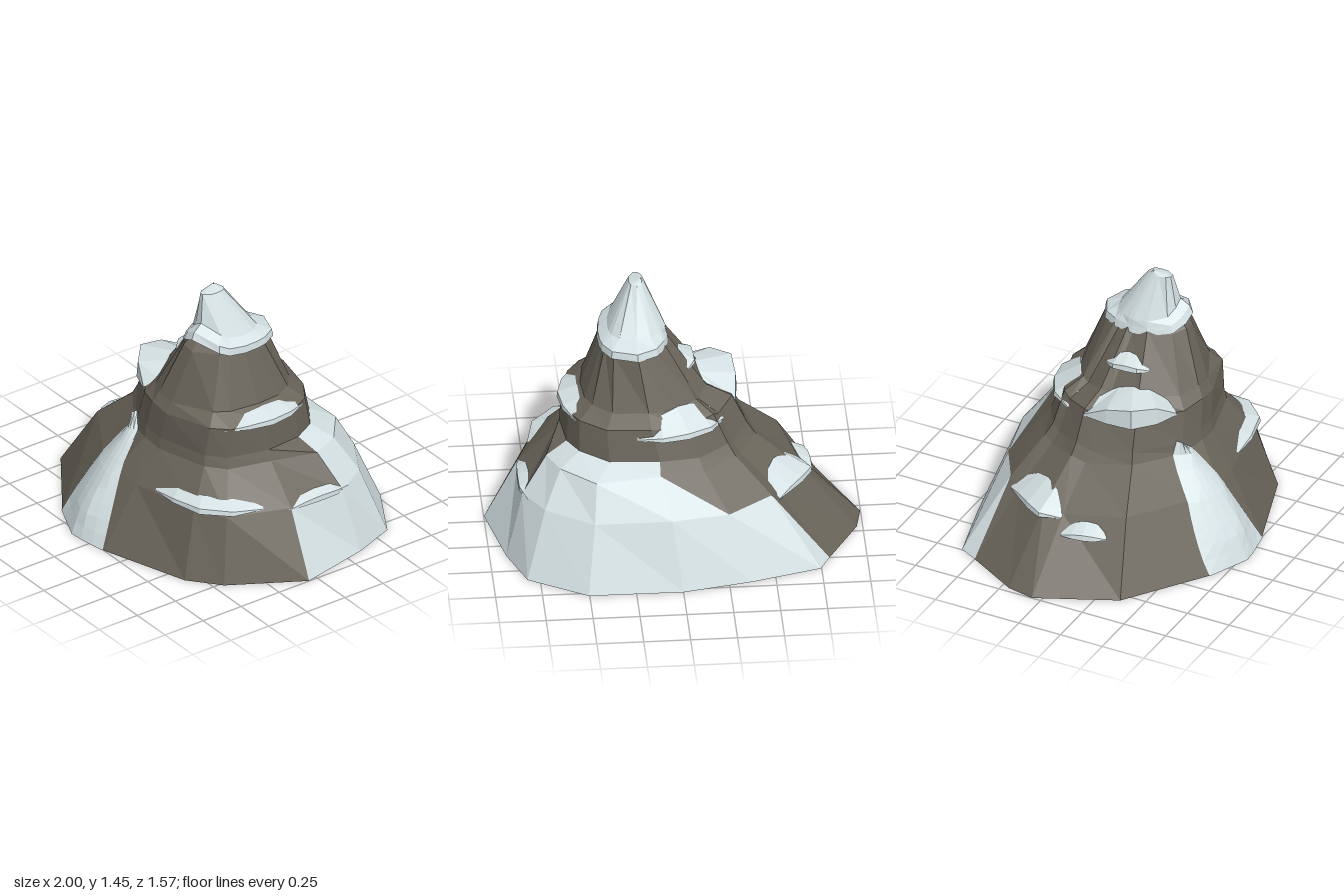
import * as THREE from 'three';

const rock = new THREE.MeshStandardMaterial({ color: 0x69645a, flatShading: true, side: THREE.DoubleSide });
rock.name = 'rock';
const snow = new THREE.MeshStandardMaterial({ color: 0xd4e0e3, flatShading: true, side: THREE.DoubleSide });
snow.name = 'snow';

const { degToRad, lerp } = THREE.MathUtils;

// Column directions in degrees, from +x round by the front (+z), and the foot's radius at each
const COLUMNS = [3, 30, 44, 82, 99, 118, 155, 183, 192, 212, 219, 242, 270, 303, 324, 339];
const FOOT = [1, .89, .84, .757, .796, .774, .886, 1, .99, .943, .96, .8, .78, .926, 1.01, .975];
const N = COLUMNS.length;

// Cross-sections: height, centre x, centre z, then reach to right, front, left and back
const SLOPES = [
  [.36, .05, 0, .77, .56, .73, .65],
  [.55, .1, 0, .52, .43, .54, .5],
  [.61, .1, 0, .5, .42, .5, .45],
  [.78, .14, 0, .45, .41, .46, .4],
  [.84, .15, 0, .34, .38, .33, .33],
  [1.13, .2, .02, .18, .25, .17, .24],
  [1.25, .2, .03, .07, .11, .08, .06],
];
const CAP = [
  [1.12, .2, .02, .17, .19, .15, .23],
  [1.115, .2, .02, .2, .25, .18, .26],
  [1.155, .2, .02, .195, .23, .17, .25],
  [1.19, .2, .02, .145, .18, .165, .16],
  [1.425, .185, .09, .04, .08, .04, .06],
  [1.445, .16, .07, .004, .004, .004, .004],
];

const columnAngle = j => degToRad(COLUMNS[j]);
const polar = (x, y, z, r, a) => new THREE.Vector3(x + r * Math.cos(a), y, z + r * Math.sin(a));

// Rounded outline with a different reach on each side, squarer on the +x half
function outline([y, x, z, right, front, left, back], a) {
  const c = Math.cos(a), s = Math.sin(a), p = c > 0 ? 2.5 : 2;
  const across = Math.abs(c) / (c > 0 ? right : left);
  const along = Math.abs(s) / (s > 0 ? front : back);
  return polar(x, y, z, (across ** p + along ** p) ** (-1 / p), a);
}

// Slope points are slightly rough, and swell where the snowfield lies
function slopePoint(section, i, j) {
  const p = outline(section, columnAngle(j));
  const rough = .012 * Math.sin(i * 37.7 + j * 91.3);
  const swell = j < 13 ? 1 : [1.06, 1.18][i] || 1;
  const scale = swell + rough;
  p.x = section[1] + (p.x - section[1]) * scale;
  p.z *= scale;
  p.y += rough;
  return p;
}

// The lower edge of the cap arches up at the front
function capPoint(section, i, j) {
  const a = columnAngle(j);
  const p = outline(section, a);
  if (i < 4) p.y += .085 * Math.max(0, Math.cos(a - degToRad(76))) ** 6;
  return p;
}

const ringPoints = (sections, place) =>
  sections.map((section, i) => COLUMNS.map((_, j) => place(section, i, j)));

// Triangles between neighbouring rings that pass the test
function loft(rings, keep = () => true) {
  const out = [];
  for (let i = 0; i < rings.length - 1; i++) {
    for (let j = 0; j < N; j++) {
      const n = (j + 1) % N;
      const [a, b, c, d] = [rings[i][j], rings[i][n], rings[i + 1][n], rings[i + 1][j]];
      if (keep(i, j, false)) out.push(a, c, b);
      if (keep(i, j, true)) out.push(a, d, c);
    }
  }
  return out;
}

// Triangles of a grid of points
function sheet(rows) {
  const out = [];
  for (let i = 0; i < rows.length - 1; i++) {
    for (let j = 0; j < rows[i].length - 1; j++) {
      const [a, b, c, d] = [rows[i][j], rows[i][j + 1], rows[i + 1][j + 1], rows[i + 1][j]];
      out.push(a, b, c, a, c, d);
    }
  }
  return out;
}

function meshOf(name, points, material) {
  const geometry = new THREE.BufferGeometry().setFromPoints(points);
  geometry.computeVertexNormals();
  const mesh = new THREE.Mesh(geometry, material);
  mesh.name = name;
  return mesh;
}

// The snowfield covers the back and the right rear, tapering to the ground
function inSnowfield(row, col, upper) {
  if (row === 0) return col >= 10 || (col === 9 && !upper);
  if (row === 1 && col === 11) return !upper;
  return row <= 2 && col >= 12 && col <= 14;
}

export function createModel() {
  const model = new THREE.Group();
  model.name = 'mountain';

  // Rock and snowfield
  const body = new THREE.Group();
  body.name = 'mountainBody';
  const foot = FOOT.map((r, j) => polar(0, 0, 0, r, columnAngle(j)));
  const rings = [foot, ...ringPoints(SLOPES, slopePoint)];
  body.add(
    meshOf('rockSlopes', loft(rings, (i, j, upper) => !inSnowfield(i, j, upper)), rock),
    meshOf('backSnowfield', loft(rings, inSnowfield), snow)
  );
  model.add(body);

  // Snow cap on the summit
  model.add(meshOf('summitSnowCap', loft(ringPoints(CAP, capPoint)), snow));

  const caster = new THREE.Raycaster();
  function hitSlope(origin, direction) {
    caster.set(origin, direction);
    return caster.intersectObject(body, true)[0].point;
  }

  // Point on the slope at an angle and height, pushed outwards
  function onSlope(angle, y, push, lift = 0) {
    const dir = polar(0, 0, 0, 1, degToRad(angle));
    const start = dir.clone().multiplyScalar(2).add(new THREE.Vector3(.1, y, 0));
    const p = hitSlope(start, dir.clone().negate());
    return p.clone().addScaledVector(dir, push).setY(y + lift);
  }

  // Snow ledge: a wedge following the slope, with a lip, thinning towards its ends
  function ledge(name, from, to, low, high, out, lip = .03) {
    const rows = [.1, .75, 1, .85, .1].map((t, i) => {
      const angle = lerp(to, from, i / 4);
      const top = lerp(low, high, .4 + .6 * t);
      return [
        onSlope(angle, low, -.02),
        onSlope(angle, low, out * t),
        onSlope(angle, low, out * t * .85, lip * t),
        onSlope(angle, top, -.015 + .02 * t),
        onSlope(angle, top, -.03),
      ];
    });
    model.add(meshOf(name, sheet(rows), snow));
  }
  ledge('rightLedge', -30, 32, .765, .83, .025);
  ledge('frontLeftLedge', 15, 73, .37, .435, .04);
  ledge('upperSideLedge', 120, 192, .76, .89, .055, .11);
  ledge('backLedge', 212, 286, .73, .85, .045);
  ledge('highSideLedge', 135, 205, .96, 1.03, .04);
  ledge('lowBackSideLedge', 183, 213, .33, .45, .035);
  ledge('lowSideLedge', 164, 181, .26, .33, .045);
  ledge('snowfieldLip', 333, 364, .35, .4, .015);

  // Snow gully down the front, narrowing upwards and bulging along its middle
  const gully = Array.from({ length: 10 }, (_, i) => {
    const t = i / 9, y = .62 * t;
    const left = Math.min(.1 - .17 * t, .87 - t);
    const right = -.37 + .24 * t ** 1.4;
    return Array.from({ length: 7 }, (_, k) => {
      const x = lerp(right, left, k / 6);
      const p = hitSlope(new THREE.Vector3(x, y + .004, 2), new THREE.Vector3(0, 0, -1));
      const bulge = .04 * Math.sin(Math.PI * k / 6) * Math.min(1, t * 4);
      return new THREE.Vector3(x, y, p.z + .008 + bulge);
    });
  });
  model.add(meshOf('frontSnowGully', sheet(gully), snow));

  return model;
}
